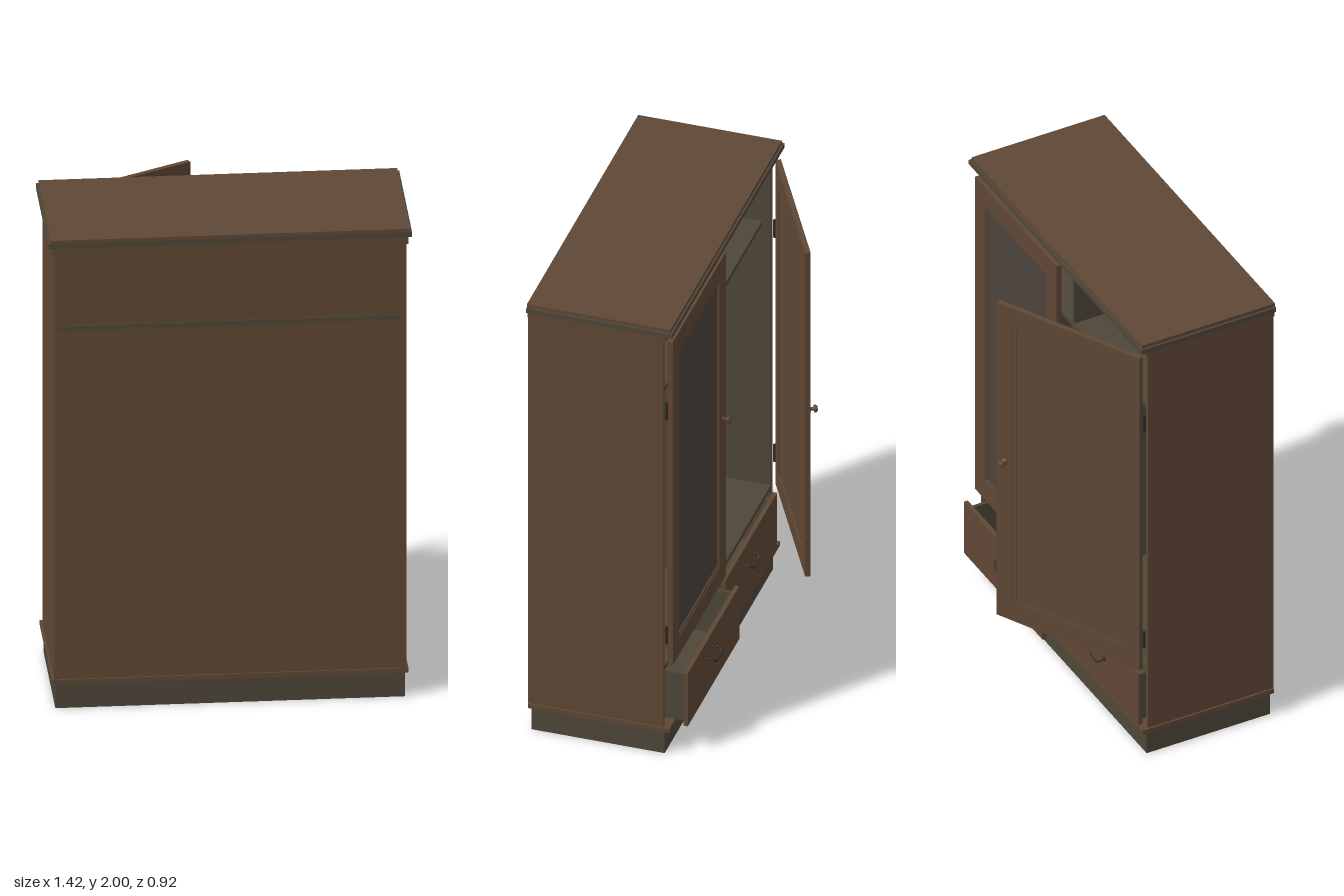
import * as THREE from 'three';

const mat = (name, color) => {
  const m = new THREE.MeshStandardMaterial({ color });
  m.name = name;
  return m;
};

export function createModel() {
  const wood = mat('brown wood', 0x5f4735);
  const trim = mat('grey brown wood', 0x4f4638);
  const glass = mat('grey mirror', 0x4c433d);
  const metal = mat('dark metal', 0x302a25);

  const root = new THREE.Group();
  root.name = 'wardrobe';

  const group = (name, parent = root) => {
    const g = new THREE.Group();
    g.name = name;
    parent.add(g);
    return g;
  };
  const add = (parent, name, geo, material) => {
    const m = new THREE.Mesh(geo, material);
    m.name = name;
    parent.add(m);
    return m;
  };
  // Box given by its limits on each axis
  const box = (parent, name, material, x0, x1, y0, y1, z0, z1) => {
    const g = new THREE.BoxGeometry(Math.abs(x1 - x0), Math.abs(y1 - y0), Math.abs(z1 - z0));
    g.translate((x0 + x1) / 2, (y0 + y1) / 2, (z0 + z1) / 2);
    return add(parent, name, g, material);
  };

  // Plinth, lower moulding and stepped cornice
  box(root, 'plinth', trim, -0.685, 0.685, 0, 0.105, -0.1, 0.447);
  box(root, 'baseMoulding', wood, -0.698, 0.698, 0.105, 0.125, -0.123, 0.458);
  box(root, 'corniceLower', wood, -0.698, 0.698, 1.935, 1.965, -0.108, 0.459);
  box(root, 'corniceMiddle', trim, -0.712, 0.712, 1.965, 1.985, -0.138, 0.46);
  box(root, 'corniceTop', wood, -0.703, 0.703, 1.985, 2, -0.13, 0.46);

  // Carcass
  for (const s of [-1, 1]) {
    box(root, 'sidePanel', wood, s * 0.69, s * 0.675, 0.125, 1.935, -0.096, 0.459);
    box(root, 'sideLining', trim, s * 0.675, s * 0.67, 0.125, 1.935, -0.094, 0.44);
  }
  box(root, 'backPanel', wood, -0.675, 0.675, 0.125, 1.935, 0.44, 0.452);
  box(root, 'shelf', trim, -0.67, 0.67, 1.612, 1.632, -0.06, 0.456);
  box(root, 'wardrobeFloor', trim, -0.67, 0.67, 0.38, 0.4, -0.095, 0.44);
  box(root, 'drawerDivider', wood, -0.01, 0.01, 0.125, 0.38, -0.095, 0.44);
  box(root, 'centreDivider', trim, -0.01, 0.01, 0.4, 1.935, -0.06, 0.44);
  const rod = add(root, 'hangingRod', new THREE.CylinderGeometry(0.011, 0.011, 1.34, 16), metal);
  rod.rotation.z = Math.PI / 2;
  rod.position.set(0, 1.54, 0.18);

  // Panelled door hung at its local origin; s is the direction it extends in x
  const knobProfile = [[0.014, 0], [0.014, 0.004], [0.007, 0.007], [0.007, 0.016],
    [0.015, 0.021], [0.016, 0.027], [0.01, 0.033], [0, 0.034]].map(p => new THREE.Vector2(...p));
  const W = 0.672, T = 0.022, Y0 = 0.41, Y1 = 1.925, ST = 0.075, RA = 0.085;
  const makeDoor = (name, s, panelMaterial) => {
    const d = group(name);
    box(d, 'hingeStile', wood, 0, s * ST, Y0, Y1, 0, -T);
    box(d, 'lockStile', wood, s * (W - ST), s * W, Y0, Y1, 0, -T);
    box(d, 'bottomRail', wood, s * ST, s * (W - ST), Y0, Y0 + RA, 0, -T);
    box(d, 'topRail', wood, s * ST, s * (W - ST), Y1 - RA, Y1, 0, -T);
    const a = ST, b = W - ST, c = Y0 + RA, e = Y1 - RA, w = 0.014;
    box(d, 'panel', panelMaterial, s * a, s * b, c, e, -0.005, -0.014);
    // Raised bead round the panel
    box(d, 'beadSide', wood, s * a, s * (a + w), c, e, -0.014, -0.019);
    box(d, 'beadSide', wood, s * (b - w), s * b, c, e, -0.014, -0.019);
    box(d, 'beadBottom', wood, s * (a + w), s * (b - w), c, c + w, -0.014, -0.019);
    box(d, 'beadTop', wood, s * (a + w), s * (b - w), e - w, e, -0.014, -0.019);
    const knob = add(d, 'knob', new THREE.LatheGeometry(knobProfile, 20), wood);
    knob.rotation.x = -Math.PI / 2;
    knob.position.set(s * (W - 0.038), 1.168, -T);
    for (const y of [0.55, 1.6]) {
      const h = add(d, 'hinge', new THREE.CylinderGeometry(0.006, 0.006, 0.08, 12), metal);
      h.position.set(-s * 0.004, y, 0.002);
    }
    return d;
  };
  const closedDoor = makeDoor('closedDoor', -1, glass);
  closedDoor.position.set(0.675, 0, -0.108);
  const openDoor = makeDoor('openDoor', 1, wood);
  openDoor.position.set(-0.675, 0, -0.112);
  openDoor.rotation.y = THREE.MathUtils.degToRad(28);

  // Drawers with bail handles
  const handleCurve = new THREE.CatmullRomCurve3([
    [-0.046, 0.008, 0], [-0.045, 0.004, -0.013], [-0.032, -0.009, -0.02],
    [0, -0.015, -0.022], [0.032, -0.009, -0.02], [0.045, 0.004, -0.013], [0.046, 0.008, 0],
  ].map(p => new THREE.Vector3(...p)));
  const makeDrawer = (name, cx, z) => {
    const d = group(name);
    d.position.set(cx, 0, z);
    box(d, 'drawerFront', wood, -0.325, 0.325, 0.128, 0.375, 0, 0.018);
    for (const s of [-1, 1])
      box(d, 'drawerSide', trim, s * 0.308, s * 0.294, 0.14, 0.358, 0.018, 0.5);
    box(d, 'drawerBack', trim, -0.294, 0.294, 0.14, 0.358, 0.486, 0.5);
    box(d, 'drawerBottom', trim, -0.294, 0.294, 0.145, 0.155, 0.018, 0.486);
    const handle = add(d, 'handle', new THREE.TubeGeometry(handleCurve, 32, 0.0035, 8), metal);
    handle.position.set(0, 0.262, 0);
    for (const s of [-1, 1]) {
      const r = add(d, 'handleRose', new THREE.CylinderGeometry(0.009, 0.009, 0.005, 16), metal);
      r.rotation.x = Math.PI / 2;
      r.position.set(s * 0.046, 0.27, -0.0025);
    }
  };
  makeDrawer('closedDrawer', -0.336, -0.124);
  makeDrawer('openDrawer', 0.336, -0.187);

  return root;
}
